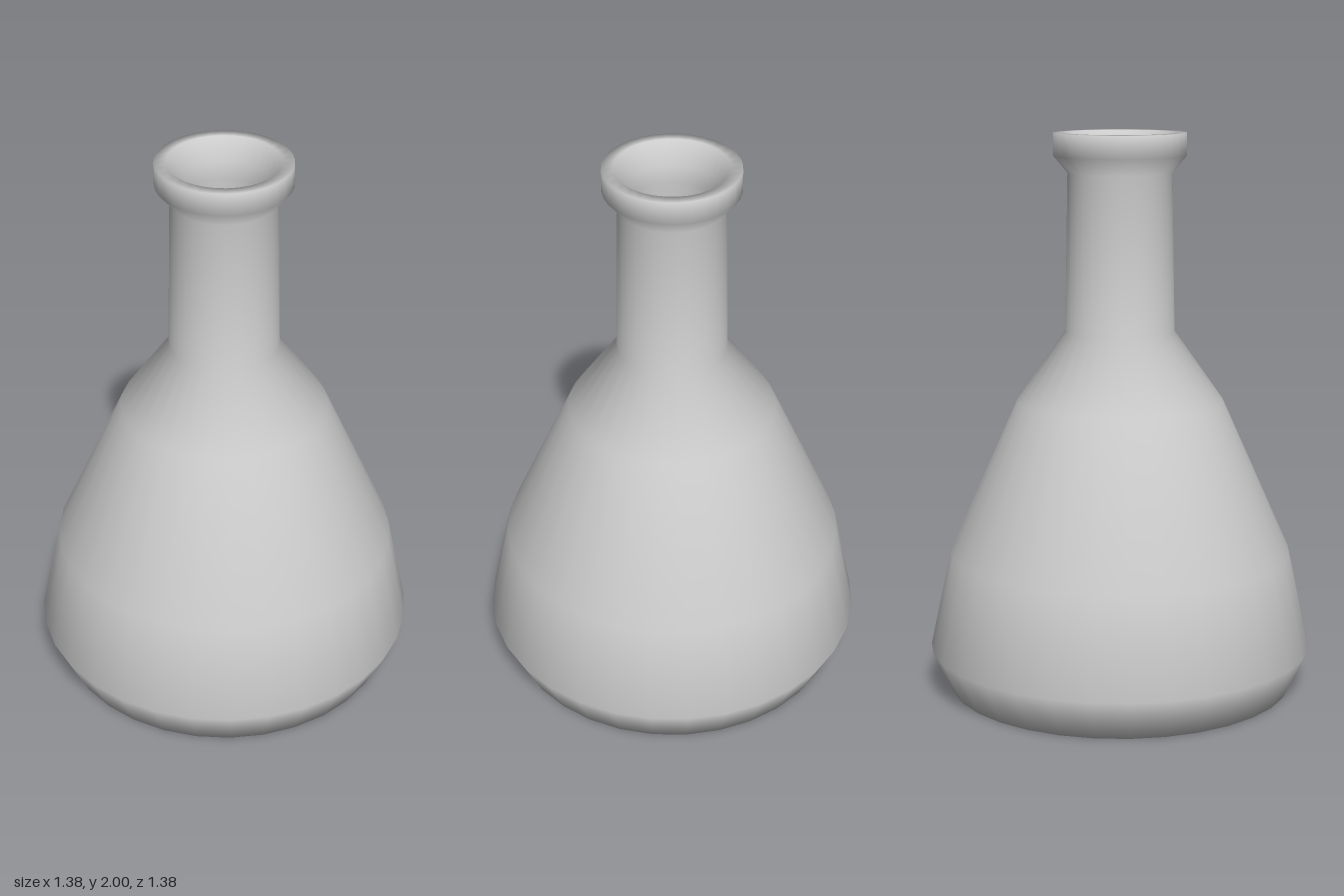
import * as THREE from 'three';

const SIDES = 32;

function lathe(name, profile, color) {
  const points = profile.map(([r, y]) => new THREE.Vector2(r, y));
  const mesh = new THREE.Mesh(
    new THREE.LatheGeometry(points, SIDES),
    new THREE.MeshStandardMaterial({ color })
  );
  mesh.name = name;
  return mesh;
}

export function createModel() {
  const group = new THREE.Group();
  group.name = 'flask';

  // Glass shell: base, belly, neck and lip outside, then back down the inner wall
  group.add(lathe('glassBody', [
    [0, 0], [0.62, 0], [0.69, 0.15], [0.615, 0.5], [0.37, 1.05],
    [0.195, 1.3], [0.185, 1.86], [0.235, 1.92], [0.235, 2],
    [0.195, 2], [0.16, 1.92], [0.15, 1.86], [0.16, 1.3],
    [0.335, 1.03], [0.575, 0.49], [0.645, 0.15], [0.59, 0.04], [0, 0.04],
  ], 0xcccccc));

  // Liquid resting in the belly, with a flat top
  group.add(lathe('liquidBody', [
    [0, 0.05], [0.58, 0.05], [0.635, 0.15], [0.565, 0.49],
  ], 0x4fd47f));
  const surface = new THREE.Mesh(
    new THREE.CircleGeometry(0.565, SIDES),
    new THREE.MeshStandardMaterial({ color: 0x4fd47f })
  );
  surface.rotation.x = -Math.PI / 2;
  surface.position.y = 0.49;
  surface.name = 'liquidSurface';
  group.add(surface);

  return group;
}
